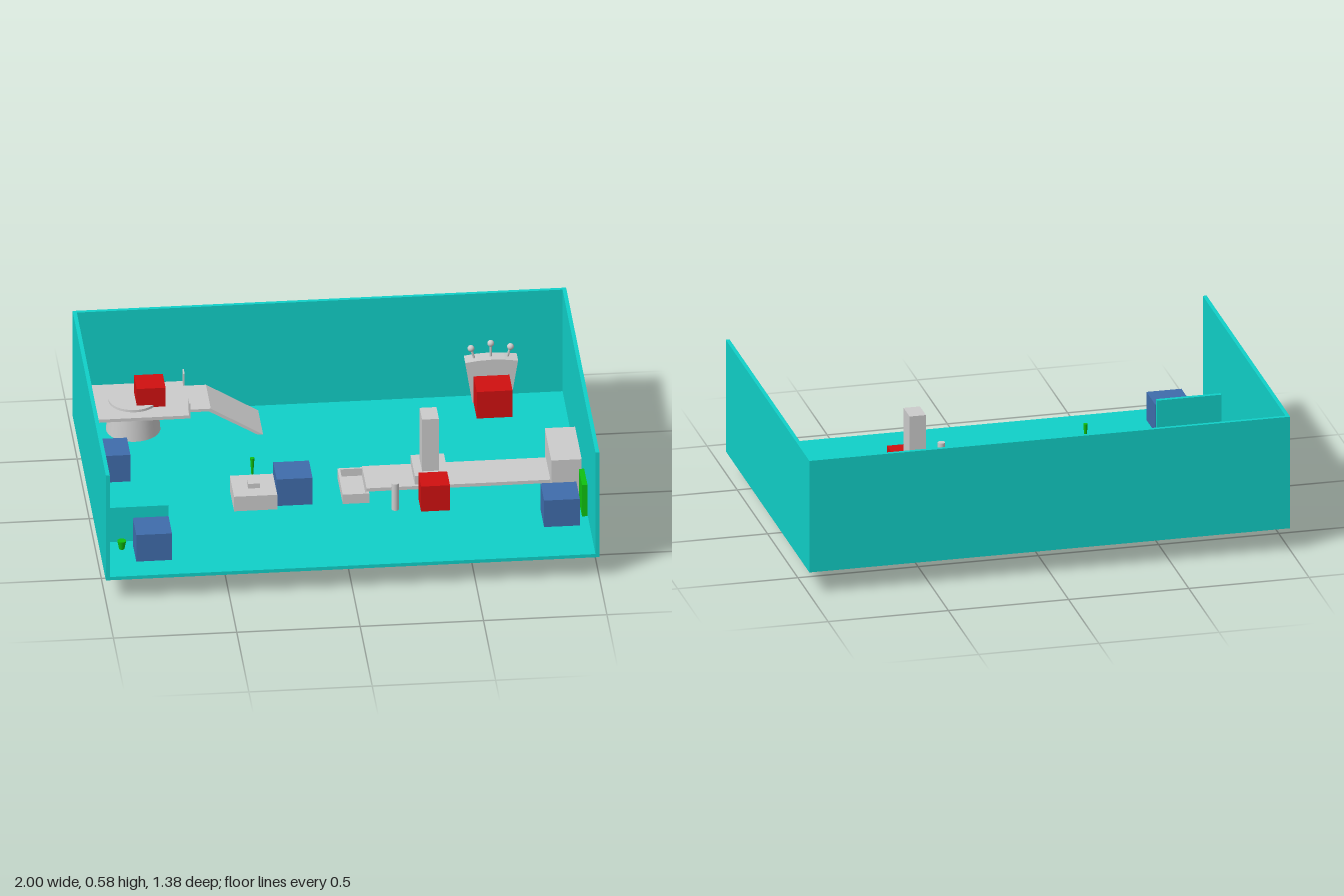
import * as THREE from 'three';

const mat = (color) => new THREE.MeshStandardMaterial({ color });
const GREY = mat(0xcccccc), TEAL = mat(0x10d0c8), BLUE = mat(0x3f6cab), RED = mat(0xd01010), GREEN = mat(0x10c010);
const FLOOR = 0.11, BOTTOM = 0.095, TOP = 0.578, WALL = 0.016, DEPTH = 0.69;

export function createModel() {
  const root = new THREE.Group();

  const add = (name, geometry, material) => {
    const mesh = new THREE.Mesh(geometry, material);
    mesh.name = name;
    root.add(mesh);
    return mesh;
  };
  // Box given by its extents on each axis
  const box = (name, material, x0, x1, y0, y1, z0, z1) =>
    add(name, new THREE.BoxGeometry(x1 - x0, y1 - y0, z1 - z0), material)
      .position.set((x0 + x1) / 2, (y0 + y1) / 2, (z0 + z1) / 2);
  const cylinder = (name, material, x, z, y0, y1, rTop, rBottom, sides = 32) =>
    add(name, new THREE.CylinderGeometry(rTop, rBottom, y1 - y0, sides), material)
      .position.set(x, (y0 + y1) / 2, z);
  const cube = (name, material, x, y0, z, s) =>
    box(name, material, x - s / 2, x + s / 2, y0, y0 + s, z - s / 2, z + s / 2);
  // Outline in x and y, extruded from z0 to z1
  const extrude = (name, material, points, z0, z1) => {
    const shape = new THREE.Shape(points.map(([x, y]) => new THREE.Vector2(x, y)));
    add(name, new THREE.ExtrudeGeometry(shape, { depth: z1 - z0, bevelEnabled: false }), material)
      .position.z = z0;
  };

  // Room, open at the top and the front
  box('floor', TEAL, -1, 1, BOTTOM, FLOOR, -DEPTH, DEPTH);
  box('backWall', TEAL, -1, 1, BOTTOM, TOP, -DEPTH, -DEPTH + WALL);
  box('rightWall', TEAL, -1, -1 + WALL, BOTTOM, TOP, -DEPTH, DEPTH);
  box('leftWall', TEAL, 1 - WALL, 1, BOTTOM, TOP, -DEPTH, DEPTH);
  box('partition', TEAL, -0.984, -0.717, FLOOR, 0.267, 0.382, 0.4);

  // Marker cubes, the floor ones sunk slightly through the floor
  for (const [x, z] of [[-0.793, 0.5], [-0.896, -0.168], [-0.184, 0.094], [0.872, 0.374]])
    cube('blueCube', BLUE, x, 0.087, z, 0.145);
  cube('consoleCube', RED, 0.69, 0.087, -0.553, 0.145);
  cube('platformCube', RED, -0.703, 0.209, -0.528, 0.117);
  cube('towerCube', RED, 0.377, 0.108, 0.211, 0.117);

  // Raised platform on a round pedestal, with a ramp down
  box('platform', GREY, -0.984, -0.553, 0.226, 0.24, -0.68, -0.385);
  cylinder('pedestal', GREY, -0.77, -0.532, FLOOR, 0.25, 0.099, 0.11);
  box('platformRail', GREY, -0.557, -0.551, 0.226, 0.295, -0.68, -0.634);
  box('platformRail', GREY, -0.557, -0.551, 0.226, 0.295, -0.433, -0.385);
  extrude('ramp', GREY, [[-0.553, 0.228], [-0.473, 0.228], [-0.275, FLOOR], [-0.253, FLOOR],
    [-0.465, 0.24], [-0.553, 0.24]], -0.634, -0.433);

  // Sunken box with a button and a green marker above it
  box('pitBox', GREY, -0.432, -0.257, 0, 0.177, 0.017, 0.194);
  box('button', GREY, -0.369, -0.32, 0.177, 0.198, 0.083, 0.131);
  cylinder('buttonMarker', GREEN, -0.35, 0.11, 0.232, 0.306, 0.009, 0.004, 16);

  // Conveyor: open tray, belt, end box and tower
  box('trayBase', GREY, 0.01, 0.118, FLOOR, 0.12, -0.045, 0.176);
  for (const x of [0.01, 0.108]) box('traySide', GREY, x, x + 0.01, FLOOR, 0.153, -0.045, 0.176);
  for (const z of [-0.045, 0.166]) box('trayEnd', GREY, 0.01, 0.118, FLOOR, 0.153, z, z + 0.01);
  box('belt', GREY, 0.108, 0.86, 0.153, 0.168, -0.027, 0.16);
  box('endBox', GREY, 0.853, 0.976, 0.097, 0.278, -0.072, 0.2);
  box('towerBase', GREY, 0.305, 0.44, 0.168, 0.208, -0.028, 0.148);
  box('tower', GREY, 0.338, 0.406, 0.168, 0.446, 0.013, 0.112);
  cylinder('post', GREY, 0.217, 0.238, FLOOR, 0.231, 0.015, 0.015);

  // Control console with three levers, flaring upward
  extrude('console', GREY, [[0.613, FLOOR], [0.768, FLOOR], [0.798, 0.295], [0.745, 0.302],
    [0.69, 0.305], [0.636, 0.302], [0.584, 0.295]], -0.68, -0.612);
  for (const side of [-1, 0, 1]) {
    const start = new THREE.Vector3(0.69 + side * 0.066, 0.295, -0.644);
    const end = new THREE.Vector3(0.69 + side * 0.08, side ? 0.344 : 0.363, -0.644);
    add('leverStem', new THREE.TubeGeometry(new THREE.LineCurve3(start, end), 1, 0.005, 10), GREY);
    add('leverKnob', new THREE.SphereGeometry(0.014, 20, 14), GREY).position.copy(end);
  }

  // Green markers on the walls and the floor
  box('wallPanel', GREEN, 0.955, 0.977, 0.142, 0.286, 0.294, 0.43);
  box('wallButton', GREEN, -0.984, -0.969, 0.16, 0.19, -0.168, -0.142);
  cylinder('cup', GREEN, -0.914, 0.468, 0.115, 0.152, 0.018, 0.011, 24);

  return root;
}
